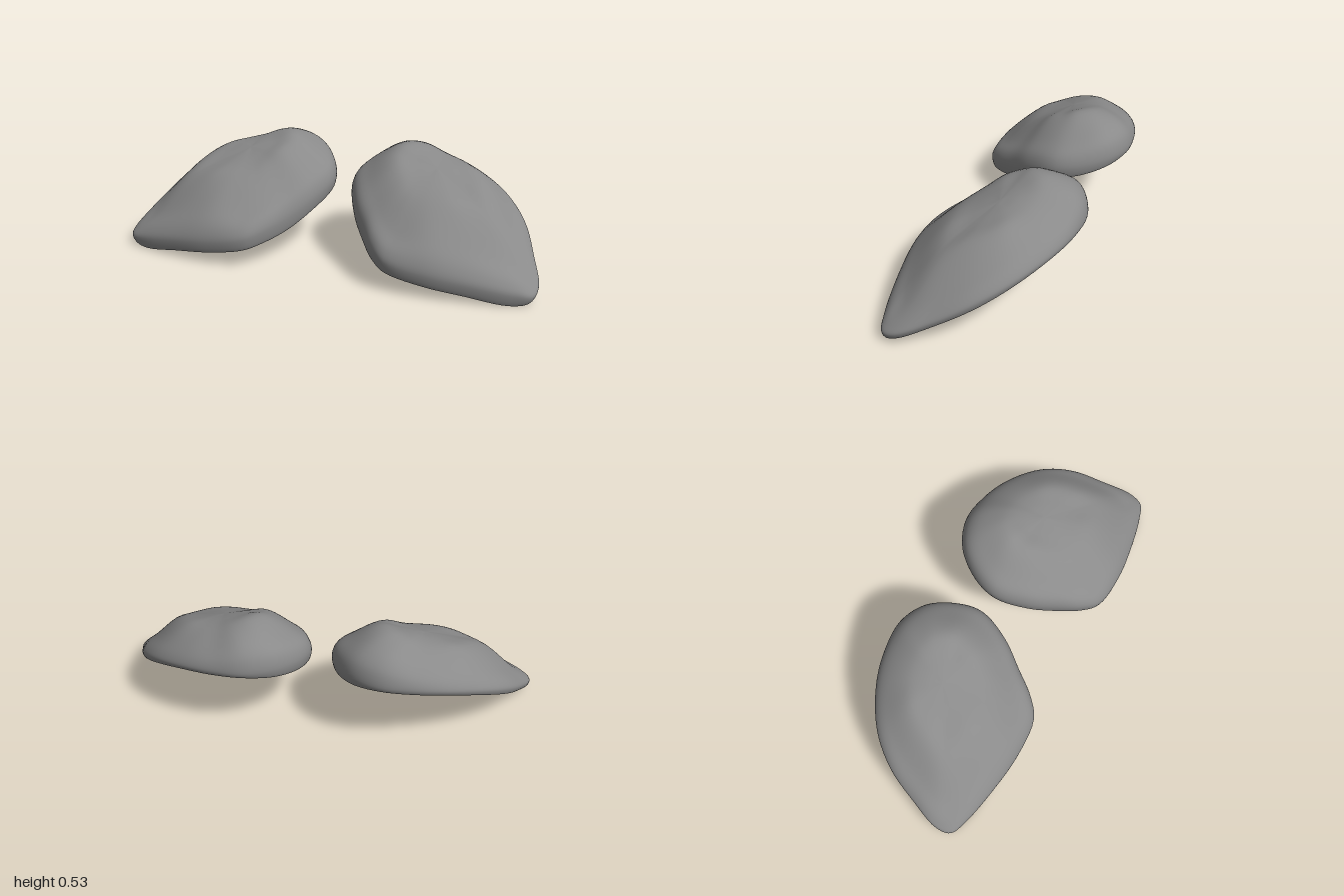
import * as THREE from 'three';
import { mergeVertices } from 'three/addons/utils/BufferGeometryUtils.js';

// Crown of the pad, from which every radial section starts, and its slope along x and z
const CENTRE = [0.47, 0.465, -0.04];
const SLOPE = [-0.2, -0.36];
// Height of the lip plane below the crown, and how far the hollow rises from it towards the top
const BASE = 0.217, HOLLOW = 0.35;

// Outline stations: x, z, edge height, height at 80 % and 50 % of the radius,
// height of the lower lip, fullness of the shoulder
const STATIONS = [
  [0.05, -0.08, 0.33, 0.435, 0.505, 0.275, 0.55],
  [0.08, -0.2, 0.35, 0.465, 0.53, 0.295, 0.55],
  [0.17, -0.32, 0.37, 0.495, 0.535, 0.325, 0.58],
  [0.3, -0.38, 0.37, 0.49, 0.517, 0.345, 0.58],
  [0.45, -0.372, 0.365, 0.45, 0.487, 0.34, 0.52],
  [0.6, -0.325, 0.345, 0.422, 0.468, 0.322, 0.46],
  [0.77, -0.22, 0.295, 0.378, 0.45, 0.268, 0.42],
  [0.88, -0.09, 0.225, 0.32, 0.422, 0.195, 0.42],
  [0.95, 0.07, 0.135, 0.252, 0.388, 0.11, 0.38],
  [0.995, 0.21, 0.07, 0.183, 0.35, 0.042, 0.34],
  [0.98, 0.28, 0.05, 0.158, 0.335, 0.012, 0.36],
  [0.9, 0.315, 0.06, 0.18, 0.342, 0.002, 0.4],
  [0.7, 0.358, 0.095, 0.232, 0.366, 0.035, 0.42],
  [0.52, 0.378, 0.12, 0.26, 0.372, 0.06, 0.46],
  [0.34, 0.362, 0.15, 0.255, 0.374, 0.09, 0.47],
  [0.26, 0.3, 0.18, 0.285, 0.392, 0.115, 0.5],
  [0.18, 0.19, 0.22, 0.338, 0.43, 0.15, 0.53],
  [0.1, 0.07, 0.28, 0.395, 0.474, 0.215, 0.55],
];

// Height of the upper face near the crown: a tilted plane plus a parabola meeting the half-radius ring
function crown({ x, z, h5 }, t) {
  const tilt = SLOPE[0] * (x - CENTRE[0]) + SLOPE[1] * (z - CENTRE[2]);
  return CENTRE[1] + tilt * t + (h5 - CENTRE[1] - tilt * 0.5) * (t / 0.5) ** 2;
}

// Height of the hollow underside at radius t, below an upper face of height top
function under(s, t, top, rise = HOLLOW) {
  return THREE.MathUtils.lerp(THREE.MathUtils.lerp(BASE, s.lip, t), top, rise);
}

// Rings from the crown, over the edge and lip, and back under the hollow: [radius, height rule]
const RINGS = [
  [0.25, (s) => crown(s, 0.25)],
  [0.5, (s) => s.h5],
  [0.8, (s) => s.h8],
  [0.95, (s) => s.edge + s.full * (s.h8 - s.edge)],
  [1, (s) => s.edge],
  [0.97, (s) => s.lip],
  [0.92, (s) => under(s, 0.92, s.h8, 0.2)],
  [0.8, (s) => under(s, 0.8, s.h8)],
  [0.5, (s) => under(s, 0.5, s.h5)],
  [0.25, (s) => under(s, 0.25, crown(s, 0.25))],
];

function padGeometry(side) {
  const around = 90, along = 56;
  const [cx, cy, cz] = CENTRE;
  const stations = STATIONS.map(([x, z, edge, h8, h5, lip, full]) => ({ x, z, edge, h8, h5, lip, full }));
  const rings = RINGS.map(([t, height]) => new THREE.CatmullRomCurve3(
    stations.map((s) => new THREE.Vector3(cx + t * (s.x - cx), height(s), cz + t * (s.z - cz))), true));

  const positions = [], index = [];
  for (let i = 0; i < around; i++) {
    // Radial section through all rings
    const section = new THREE.CatmullRomCurve3([
      new THREE.Vector3(cx, cy, cz),
      ...rings.map((ring) => ring.getPoint(i / around)),
      new THREE.Vector3(cx, THREE.MathUtils.lerp(BASE, cy, HOLLOW), cz),
    ]);
    for (let j = 0; j <= along; j++) {
      const p = section.getPoint(j / along);
      positions.push(side * p.x, Math.max(0, p.y), p.z);
    }
  }
  const row = along + 1;
  for (let i = 0; i < around; i++) {
    for (let j = 0; j < along; j++) {
      const a = i * row + j, b = ((i + 1) % around) * row + j;
      const tris = [[a, b, a + 1], [b, b + 1, a + 1]];
      if (j === 0) tris.shift(); // crown pole
      if (j === along - 1) tris.pop(); // hollow pole
      for (const [p, q, r] of tris) index.push(...(side > 0 ? [p, q, r] : [p, r, q]));
    }
  }
  const geometry = new THREE.BufferGeometry();
  geometry.setAttribute('position', new THREE.Float32BufferAttribute(positions, 3));
  geometry.setIndex(index);
  const welded = mergeVertices(geometry, 1e-5);
  welded.computeVertexNormals();
  return welded;
}

export function createModel() {
  const group = new THREE.Group();
  group.name = 'shoulderPads';
  const material = new THREE.MeshStandardMaterial({ color: 0x8a8a8a });
  // Mirrored pair of hollow pads
  for (const [name, side] of [['leftPad', 1], ['rightPad', -1]]) {
    const pad = new THREE.Mesh(padGeometry(side), material);
    pad.name = name;
    group.add(pad);
  }
  return group;
}
